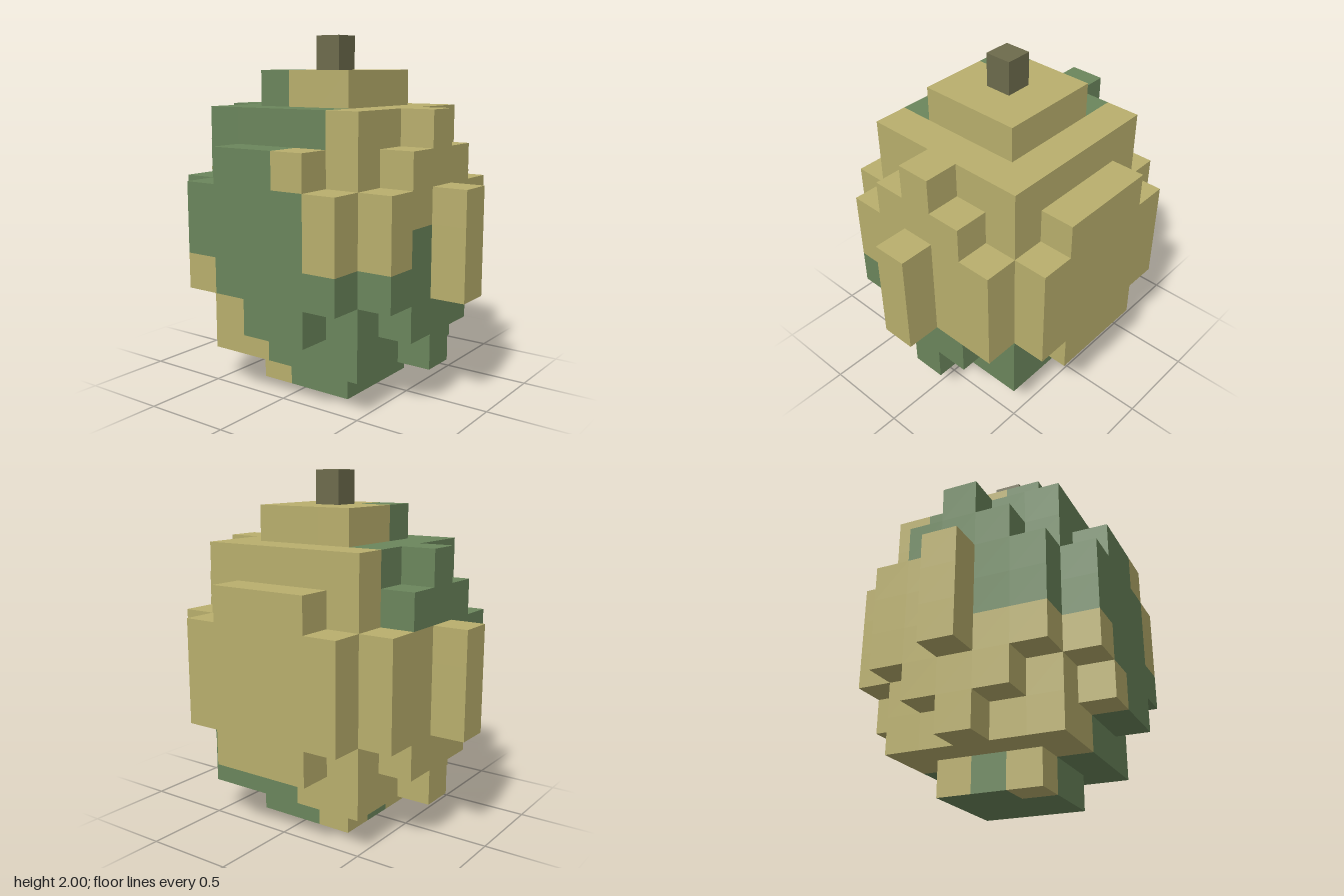
import * as THREE from 'three';
import { mergeGeometries } from 'three/addons/utils/BufferGeometryUtils.js';

const S = 0.2;    // block width and depth
const H = 0.201;  // block height

const straw = new THREE.MeshStandardMaterial({ color: 0xb9af6d });
straw.name = 'straw';
const moss = new THREE.MeshStandardMaterial({ color: 0x6b865c });
moss.name = 'moss';
const bark = new THREE.MeshStandardMaterial({ color: 0x6d6b4c });
bark.name = 'bark';

// Block ranges [xMin, xMax, yMin, yMax, zMin, zMax]; x and z are counted from the centre
const parts = {
  core: [[-2, 2, 1, 7, -2, 2]],
  topCap: [[-1, 1, 8, 8, -1, 1]],
  bottomCap: [[-1, 1, 0, 0, -1, 1]],
};
// Stepped panel on the front and back
for (const [name, z] of [['frontPanel', 3], ['backPanel', -3]]) {
  parts[name] = [[-2, 2, 3, 5, z, z], [-1, 1, 2, 2, z, z], [-1, 1, 6, 6, z, z]];
}
// Stepped ribs and a raised centre rib on each side
for (const [side, s] of [['left', 1], ['right', -1]]) {
  const x = 3 * s;
  parts[side + 'Ribs'] = [[x, x, 1, 7, 0, 0]];
  for (const k of [-1, 1]) {
    parts[side + 'Ribs'].push([x, x, 2, 6, k, k], [x, x, 3, 5, 2 * k, 2 * k]);
  }
  parts[side + 'CentreRib'] = [[4 * s, 4 * s, 3, 5, 0, 0]];
}

// Moss creeping from the bottom left, across the front, to the upper right
function isMoss(x, y, z, dirY) {
  if (Math.abs(x) === 4 || z === -3) return false;
  const shoulder = x <= -2 && z >= -1;
  switch (y) {
    case 0: return x >= 0 || z === 0 || (z === -1 && dirY < 0);
    case 1:
    case 2: return x >= 0;
    case 3: return x >= -1 && z >= 1;
    case 4: return z >= 1 && (x <= 1 || (x === 3 && z === 1));
    case 5: return z >= 1 && x <= 1;
    case 6: return shoulder || (z >= 1 && x <= 0);
    case 7: return shoulder || (z === 2 && x <= 1);
    default: return x === -1 && z === 1;
  }
}

// Calls fn for every block of a list of ranges
function eachBlock(ranges, fn) {
  for (const [x0, x1, y0, y1, z0, z1] of ranges)
    for (let x = x0; x <= x1; x++)
      for (let y = y0; y <= y1; y++)
        for (let z = z0; z <= z1; z++) fn(x, y, z);
}

// One outward-facing unit square for each block side
const sides = [
  [[1, 0, 0], 0, Math.PI / 2], [[-1, 0, 0], 0, -Math.PI / 2],
  [[0, 1, 0], -Math.PI / 2, 0], [[0, -1, 0], Math.PI / 2, 0],
  [[0, 0, 1], 0, 0], [[0, 0, -1], 0, Math.PI],
].map(([dir, rx, ry]) => ({
  dir,
  square: new THREE.PlaneGeometry(1, 1).translate(0, 0, 0.5).rotateX(rx).rotateY(ry),
}));

export function createModel() {
  const model = new THREE.Group();
  model.name = 'blockGourd';

  const solid = new Set();
  for (const ranges of Object.values(parts)) {
    eachBlock(ranges, (x, y, z) => solid.add(`${x},${y},${z}`));
  }

  // Each part shows only its exposed block sides, sorted by colour
  for (const [name, ranges] of Object.entries(parts)) {
    const faces = { straw: [], moss: [] };
    eachBlock(ranges, (x, y, z) => {
      for (const { dir, square } of sides) {
        if (solid.has(`${x + dir[0]},${y + dir[1]},${z + dir[2]}`)) continue;
        const face = square.clone().scale(S, H, S).translate(x * S, (y + 0.5) * H, z * S);
        faces[isMoss(x, y, z, dir[1]) ? 'moss' : 'straw'].push(face);
      }
    });
    const group = new THREE.Group();
    group.name = name;
    for (const material of [straw, moss]) {
      const list = faces[material.name];
      if (!list.length) continue;
      const mesh = new THREE.Mesh(mergeGeometries(list), material);
      mesh.name = `${name} ${material.name}`;
      group.add(mesh);
    }
    model.add(group);
  }

  // Stem
  const top = 9 * H;
  const stem = new THREE.Mesh(new THREE.BoxGeometry(0.155, 2 - top, 0.155), bark);
  stem.position.y = (2 + top) / 2;
  stem.name = 'stem';
  model.add(stem);

  return model;
}
